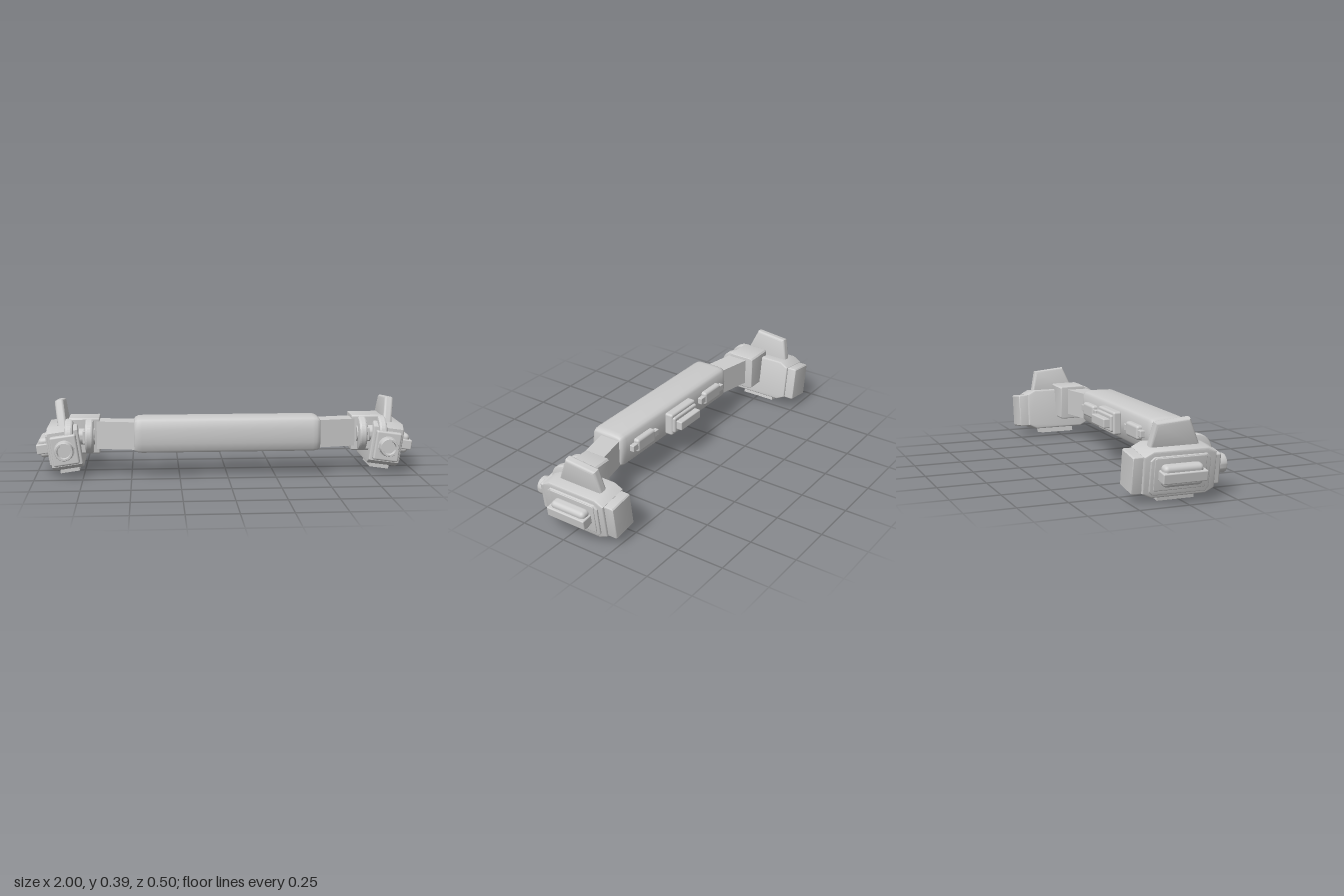
import * as THREE from 'three';
import { toCreasedNormals } from 'three/addons/utils/BufferGeometryUtils.js';
import { RoundedBoxGeometry } from 'three/addons/geometries/RoundedBoxGeometry.js';

export function createModel() {
  const model = new THREE.Group();
  model.name = 'trackerBar';
  const grey = new THREE.MeshStandardMaterial({ color: 0xcccccc });
  grey.name = 'lightGrey';

  const add = (parent, name, geo, x = 0, y = 0, z = 0) => {
    const mesh = new THREE.Mesh(geo, grey);
    mesh.name = name;
    mesh.position.set(x, y, z);
    parent.add(mesh);
  };
  const rbox = (w, h, d, r = 0.008) => new RoundedBoxGeometry(w, h, d, 3, r);
  // Side profile of [z, y] points, extruded along x and centred; total width w
  const slab = (pts, w, bevel = 0.008, bevelLength = bevel, crease = 0.6) => {
    const shape = new THREE.Shape(pts.map(([z, y]) => new THREE.Vector2(-z, y)));
    const geo = new THREE.ExtrudeGeometry(shape, {
      depth: w - 2 * bevelLength, bevelEnabled: true, bevelSize: bevel,
      bevelOffset: -bevel, bevelThickness: bevelLength, bevelSegments: 3,
    });
    geo.translate(0, 0, bevelLength - w / 2);
    geo.rotateY(Math.PI / 2);
    return toCreasedNormals(geo, crease);
  };
  // Chamfered rectangle profile
  const oct = (z0, z1, y0, y1, cz, cy = cz) => [
    [z0 + cz, y0], [z1 - cz, y0], [z1, y0 + cy], [z1, y1 - cy],
    [z1 - cz, y1], [z0 + cz, y1], [z0, y1 - cy], [z0, y0 + cy]];
  // Round part from [radius, height] points
  const turned = (pts) => toCreasedNormals(
    new THREE.LatheGeometry(pts.map(([r, h]) => new THREE.Vector2(r, h)), 40), 0.6);

  // Central bar
  add(model, 'mainBar', slab([
    [0.05, 0.13], [0.2, 0.13], [0.213, 0.134], [0.221, 0.145], [0.227, 0.18], [0.23, 0.21], [0.228, 0.25],
    [0.222, 0.292], [0.215, 0.303], [0.2, 0.309], [0.13, 0.311], [0.065, 0.308],
    [0.045, 0.302], [0.034, 0.288], [0.03, 0.22], [0.034, 0.146]], 0.97, 0.018, 0.04, 0.75));

  // Rear modules on the bar
  add(model, 'centreModuleBase', rbox(0.22, 0.125, 0.05, 0.012), 0, 0.22, 0.012);
  add(model, 'centreModuleStep', rbox(0.205, 0.09, 0.03, 0.01), 0, 0.22, -0.012);
  add(model, 'centreModuleStrap', rbox(0.178, 0.05, 0.045, 0.006), 0, 0.22, -0.038);
  for (const s of [-1, 1]) {
    add(model, 'sideModulePad', rbox(0.15, 0.075, 0.04, 0.014), s * 0.31, 0.22, 0.022);
    add(model, 'sideModuleStrap', rbox(0.22, 0.036, 0.03, 0.004), s * 0.31, 0.22, 0.022);
  }

  for (const s of [-1, 1]) {
    // Arm sweeping back from the bar to the hinge
    const arm = new THREE.BoxGeometry(0.22, 0.145, 0.115);
    const p = arm.attributes.position;
    for (let i = 0; i < p.count; i++) p.setZ(i, p.getZ(i) - s * p.getX(i) * 0.2);
    arm.computeVertexNormals();
    add(model, 'arm', arm, s * 0.57, 0.212, 0.09);

    // Hinge block, rounded discs, bolts and axle
    add(model, 'hingeBlock', slab(oct(-0.03, 0.12, 0.112, 0.302, 0.008), 0.16, 0.005), s * 0.745, 0, 0);
    for (const x of [0.718, 0.823]) {
      const disc = turned([[0, -0.022], [0.078, -0.022], [0.087, -0.019], [0.093, -0.01],
        [0.093, 0.01], [0.087, 0.019], [0.078, 0.022], [0, 0.022]]);
      add(model, 'hingeDisc', disc.rotateZ(Math.PI / 2), s * x, 0.205, 0.105);
    }
    const axle = turned([[0, -0.08], [0.045, -0.08], [0.045, 0.08], [0, 0.08]]);
    add(model, 'hingeAxle', axle.rotateZ(Math.PI / 2), s * 0.77, 0.205, 0.105);
    add(model, 'hingeBolt', rbox(0.016, 0.07, 0.05, 0.005), s * 0.743, 0.21, 0.155);

    // Pod, leaning outward
    const pod = new THREE.Group();
    pod.name = 'pod';
    pod.position.set(s * 0.845, 0.15, 0);
    pod.rotation.z = -s * 0.14;
    model.add(pod);
    add(pod, 'podBody', slab(oct(-0.2, 0.17, -0.115, 0.113, 0.046, 0.024), 0.164, 0.008));
    add(pod, 'frontBlock', rbox(0.135, 0.156, 0.06, 0.01), 0, -0.005, 0.173);
    add(pod, 'rearBlock', slab(oct(-0.25, -0.17, -0.095, 0.088, 0.006), 0.138, 0.006));

    // Outer side panels and grip
    add(pod, 'sidePanel', slab(oct(-0.17, 0.135, -0.098, 0.088, 0.018), 0.03, 0.004), s * 0.077, 0, 0);
    add(pod, 'sidePanelInner', slab(oct(-0.152, 0.113, -0.076, 0.084, 0.006), 0.02, 0.003), s * 0.086, 0, 0);
    add(pod, 'gripBody', rbox(0.06, 0.105, 0.204, 0.022), s * 0.112, 0.004, -0.02);
    add(pod, 'gripStrap', rbox(0.065, 0.052, 0.227, 0.006), s * 0.122, 0.002, -0.018);

    // Upright fin
    add(pod, 'fin', slab([[-0.152, 0.1], [0.11, 0.1], [0.05, 0.242], [-0.125, 0.226]], 0.048, 0.014));

    // Lens barrel with recessed front
    const lens = turned([[0.053, 0], [0.053, 0.006], [0.048, 0.008], [0.048, 0.042], [0.045, 0.05],
      [0.036, 0.05], [0.033, 0.03], [0, 0.03]]);
    add(pod, 'lens', lens.rotateX(Math.PI / 2), 0, -0.003, 0.2);

    // Vented frame underneath
    for (const x of [-0.045, 0.045])
      add(pod, 'ventRail', new THREE.BoxGeometry(0.012, 0.04, 0.19), x, -0.123, -0.015);
    for (let i = 0; i < 5; i++)
      add(pod, 'ventRib', new THREE.BoxGeometry(0.08, 0.04, 0.014), 0, -0.123, -0.103 + i * 0.044);
    add(pod, 'ventFloor', new THREE.BoxGeometry(0.08, 0.025, 0.18), 0, -0.115, -0.015);
  }
  return model;
}
